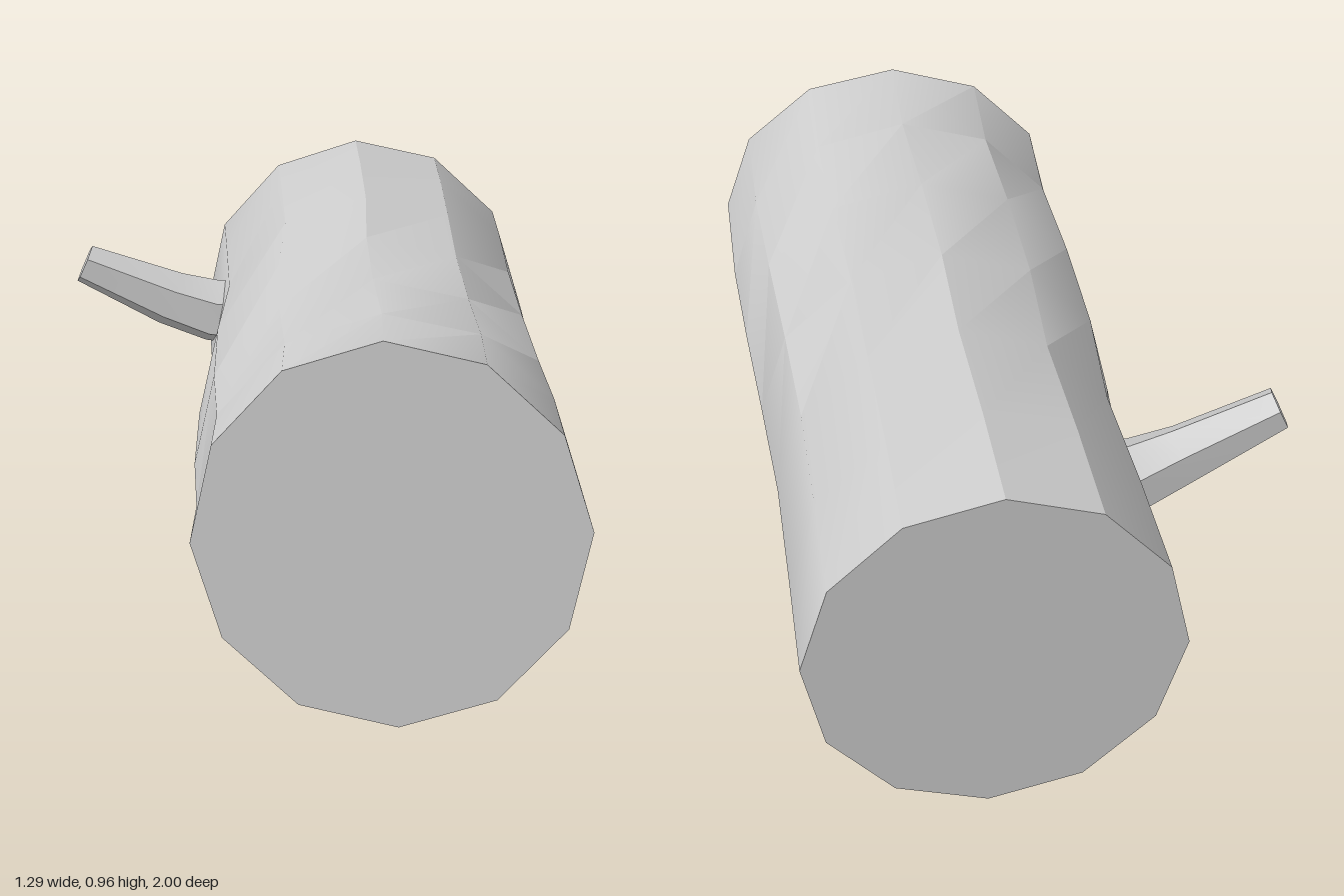
import * as THREE from 'three';
import { toCreasedNormals } from 'three/addons/utils/BufferGeometryUtils.js';

const material = new THREE.MeshStandardMaterial({ color: 0xcccccc });

// Skin a list of rings (each a loop of Vector3) and close both ends.
function loft(rings, crease) {
  const n = rings[0].length;
  const points = rings.flat();
  const index = [];
  for (let i = 0; i < rings.length - 1; i++) {
    for (let j = 0; j < n; j++) {
      const k = (j + 1) % n;
      const a = i * n + j, b = i * n + k, c = b + n, d = a + n;
      index.push(a, b, c, a, c, d);
    }
  }
  const last = (rings.length - 1) * n;
  for (let j = 1; j < n - 1; j++) {
    index.push(0, j + 1, j, last, last + j, last + j + 1);
  }
  const geometry = new THREE.BufferGeometry().setFromPoints(points);
  geometry.setIndex(index);
  return toCreasedNormals(geometry, crease);
}

// Trunk: twelve-sided sections from back to front, the front cut slanted.
function makeTrunk() {
  // z, left edge x, right edge x, bottom y, top y
  const sections = [
    [-1, -0.3, 0.625, 0.008, 0.957],
    [-0.7, -0.287, 0.62, 0.024, 0.968],
    [-0.35, -0.272, 0.615, 0.026, 0.957],
    [0, -0.298, 0.625, 0.016, 0.941],
    [0.35, -0.3, 0.637, 0.003, 0.932],
    [0.65, -0.286, 0.645, 0.006, 0.937],
    [0.955, -0.293, 0.638, 0.027, 0.955],
  ];
  const rings = sections.map(([z, x0, x1, y0, y1], i) => {
    const slant = i === sections.length - 1 ? 1 : 0;
    return Array.from({ length: 12 }, (_, j) => {
      const a = (j / 12) * Math.PI * 2 + 0.045;
      const dx = (Math.cos(a) * (x1 - x0)) / 2;
      const dy = (Math.sin(a) * (y1 - y0)) / 2;
      return new THREE.Vector3((x0 + x1) / 2 + dx, (y0 + y1) / 2 + dy,
        z + slant * (0.055 * dx - 0.085 * dy));
    });
  });
  return loft(rings, Math.PI / 6);
}

// Branch stub: a bent, tapering six-sided peg with a ridge on top.
function makeBranch() {
  // centre x, y, z, half height, half width, lean of the section
  const sections = [
    [-0.15, 0.575, -0.51, 0.095, 0.09, 0],
    [-0.27, 0.585, -0.51, 0.09, 0.085, 0.25],
    [-0.39, 0.625, -0.5, 0.08, 0.066, 0.45],
    [-0.628, 0.73, -0.49, 0.055, 0.05, 0.42],
  ];
  const rings = sections.map(([x, y, z, h, w, lean]) =>
    Array.from({ length: 6 }, (_, j) => {
      const a = (j / 6) * Math.PI * 2;
      const up = Math.cos(a) * h;
      const side = (Math.sin(a) / Math.sin(Math.PI / 3)) * w;
      return new THREE.Vector3(x + up * Math.sin(lean), y + up * Math.cos(lean), z - side);
    }));
  return loft(rings, Math.PI / 6);
}

export function createModel() {
  const group = new THREE.Group();
  group.name = 'log';
  const parts = { trunk: makeTrunk(), branchStub: makeBranch() };
  for (const [name, geometry] of Object.entries(parts)) {
    const mesh = new THREE.Mesh(geometry, material);
    mesh.name = name;
    group.add(mesh);
  }
  return group;
}
